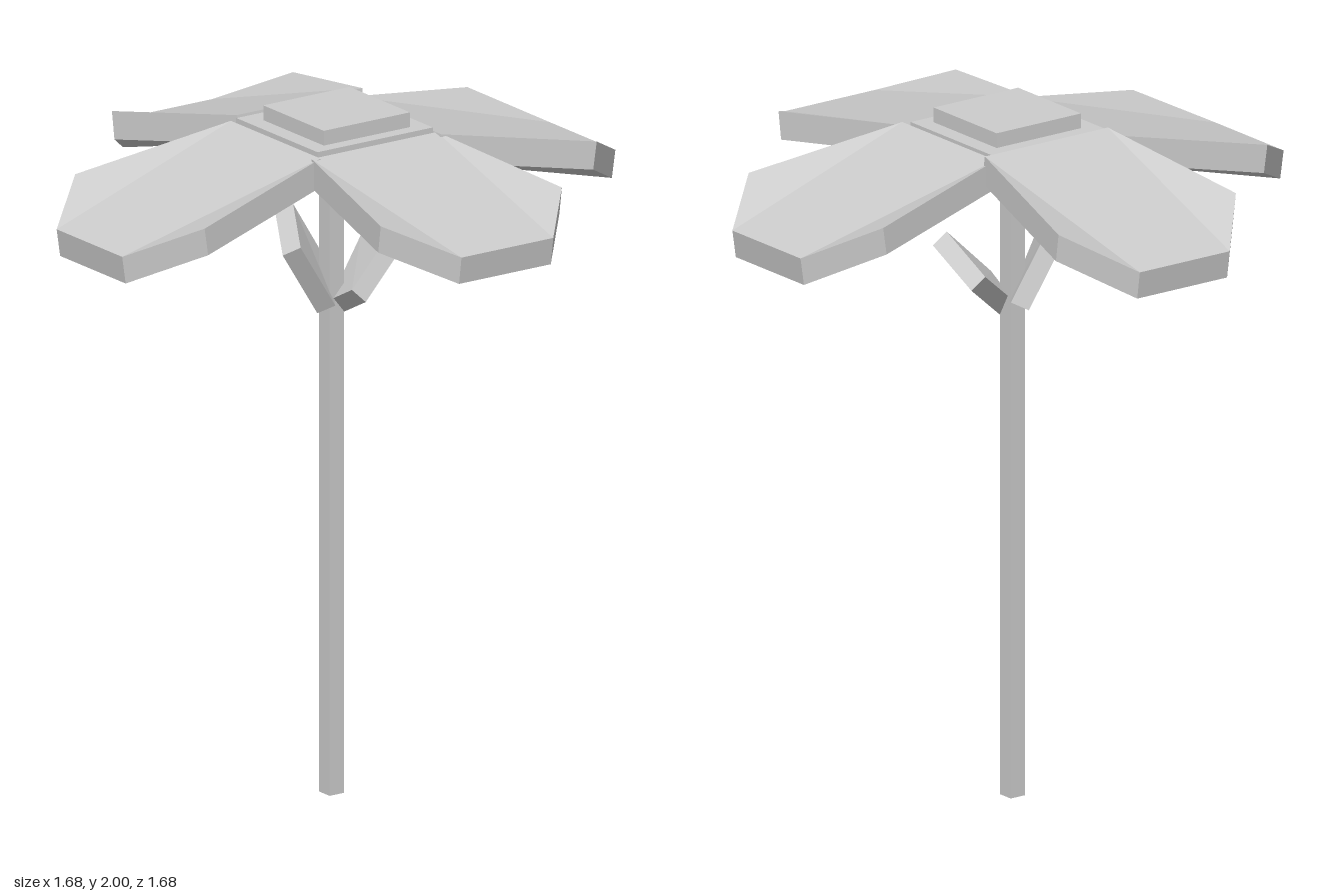
import * as THREE from 'three';

const material = new THREE.MeshStandardMaterial({ color: 0xcccccc, flatShading: true });

// Closed slab between two matching rings of corners; cap lists the upper triangles.
function slab(upper, lower, cap) {
  const pos = [];
  const tri = (a, b, c) => pos.push(...a, ...b, ...c);
  for (const [a, b, c] of cap) {
    tri(upper[a], upper[b], upper[c]);
    tri(lower[c], lower[b], lower[a]);
  }
  upper.forEach((p, i) => {
    const j = (i + 1) % upper.length;
    tri(p, lower[i], lower[j]);
    tri(p, lower[j], upper[j]);
  });
  const geo = new THREE.BufferGeometry();
  geo.setAttribute('position', new THREE.Float32BufferAttribute(pos, 3));
  geo.computeVertexNormals();
  return geo;
}

const offset = (points, d) => points.map(p => p.map((v, i) => v + d[i]));

export function createModel() {
  const group = new THREE.Group();
  const add = (name, geo) => {
    const mesh = new THREE.Mesh(geo, material);
    mesh.name = name;
    group.add(mesh);
    return mesh;
  };
  const box = (name, x0, x1, y0, y1, z0, z1) =>
    add(name, new THREE.BoxGeometry(x1 - x0, y1 - y0, z1 - z0))
      .position.set((x0 + x1) / 2, (y0 + y1) / 2, (z0 + z1) / 2);

  // Stem and flower centre
  box('stem', -0.04, 0.01, 0, 1.86, -0.025, 0.025);
  box('centrePlate', -0.2, 0.19, 1.915, 1.957, -0.2, 0.195);
  box('centreCap', -0.14, 0.15, 1.9, 2, -0.15, 0.145);

  // Petals: drooping slabs with raised widest corners
  const petalCap = [[0, 1, 2], [0, 2, 3], [0, 3, 5], [5, 3, 4]];
  const petals = [
    // name, turn, sideways shift, heights at root, widest part and tip
    ['frontPetal', 0, -0.003, 1.945, 1.85, 1.76],
    ['leftPetal', Math.PI / 2, -0.008, 1.945, 1.885, 1.81],
    ['backPetal', Math.PI, -0.014, 1.947, 1.865, 1.77],
    ['rightPetal', -Math.PI / 2, -0.022, 1.965, 1.875, 1.78],
  ];
  for (const [name, turn, shift, root, wide, tip] of petals) {
    const half = [[0.215, root, 0.2], [0.31, wide, 0.665], [0.157, tip, 0.838]];
    const upper = [
      ...half.map(([x, y, z]) => [shift - x, y, z]),
      ...half.map(([x, y, z]) => [shift + x, y, z]).reverse(),
    ];
    add(name, slab(upper, offset(upper, [0, -0.08, -0.012]), petalCap)).rotation.y = turn;
  }

  // Two tapered leaves on the stem, given by outer face and thickness
  const leafCap = [[0, 1, 2], [0, 2, 3]];
  const leaf = (name, outer, thickness) =>
    add(name, slab(offset(outer, thickness), outer, leafCap));
  leaf('frontLeaf',
    [[-0.16, 1.675, 0.09], [0.03, 1.615, 0.2], [0, 1.413, 0.06], [-0.13, 1.455, -0.03]],
    [0.03, 0.023, -0.04]);
  leaf('backLeaf',
    [[0.12, 1.462, -0.02], [0.088, 1.622, -0.2], [-0.09, 1.535, -0.2], [0.01, 1.405, -0.025]],
    [-0.016, 0.038, 0.036]);

  return group;
}
